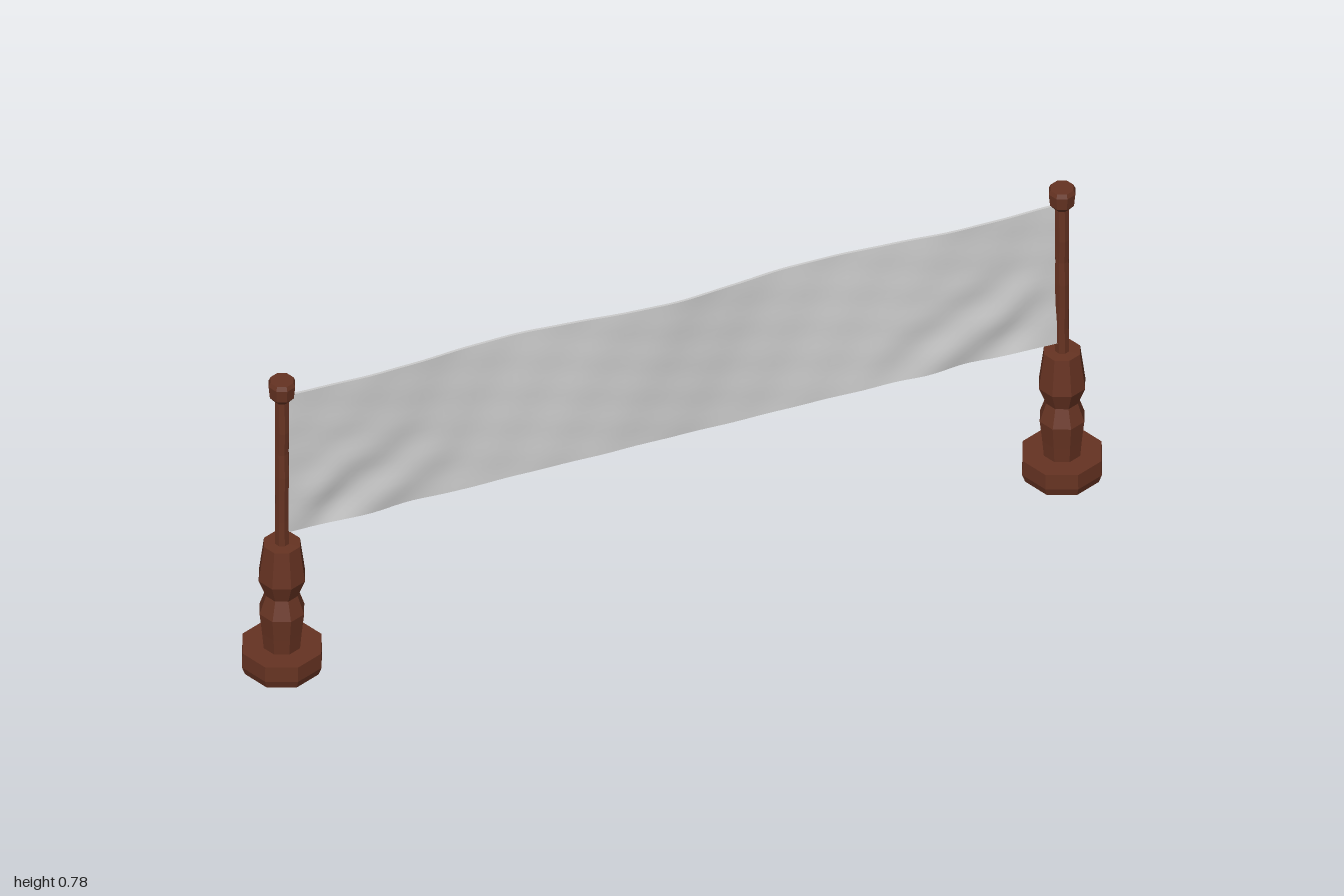
import * as THREE from 'three';

const wood = new THREE.MeshStandardMaterial({ color: 0x663322, flatShading: true });
const cloth = new THREE.MeshStandardMaterial({ color: 0xcccccc, side: THREE.DoubleSide });

// Eight-sided turned piece from [radius, height] pairs, slightly hand-carved
function turned(name, profile, wobble = 0) {
  const points = profile.map(([r, y]) => new THREE.Vector2(r, y));
  const geo = new THREE.LatheGeometry(points, 8);
  const pos = geo.attributes.position;
  for (let i = 0; i < pos.count; i++) {
    const x = pos.getX(i), y = pos.getY(i), z = pos.getZ(i);
    pos.setX(i, x + wobble * Math.sin(y * 47) * Math.sign(Math.round(x * 1e4)));
    pos.setZ(i, z + wobble * Math.cos(y * 39) * Math.sign(Math.round(z * 1e4)));
  }
  geo.computeVertexNormals();
  const mesh = new THREE.Mesh(geo, wood);
  mesh.name = name;
  return mesh;
}

function createPost(name) {
  const post = new THREE.Group();
  post.name = name;
  post.add(
    turned('foot', [[0, 0], [0.086, 0.002], [0.093, 0.022], [0.092, 0.06], [0, 0.06]]),
    turned('turnedLeg', [[0.042, 0.055], [0.046, 0.1], [0.052, 0.155], [0.037, 0.2],
      [0.054, 0.245], [0.042, 0.335], [0, 0.337]]),
    turned('pole', [[0.016, 0.33], [0.016, 0.4], [0.015, 0.46], [0.017, 0.52],
      [0.015, 0.58], [0.017, 0.64], [0.016, 0.725]], 0.001),
    turned('cap', [[0, 0.722], [0.018, 0.723], [0.028, 0.735], [0.031, 0.766],
      [0.027, 0.776], [0, 0.776]]),
  );
  return post;
}

// Smooth bump, 1 at the centre and 0 at the given width
const bump = (d, width) => Math.max(0, 1 - (d / width) ** 2) ** 2;

// Thin sagging cloth with a double billow along the top and crumpled ends
function createBanner() {
  const geo = new THREE.BoxGeometry(1.79, 0.362, 0.006, 72, 18, 1);
  const pos = geo.attributes.position;
  for (let i = 0; i < pos.count; i++) {
    const x = pos.getX(i), v = pos.getY(i) / 0.362 + 0.5, z = pos.getZ(i);
    const u = Math.abs(x) / 0.895;
    const sag = 0.022 * (1 - u * u);
    const top = -0.012 - 0.014 * (1 - u * u) - 0.024 * bump(u - 0.39, 0.4);
    const bottom = 0.003 - 0.03 * (1 - u * u);
    const lower = bump(Math.hypot((u - 0.85) * 1.6, v - 0.15), 0.6);
    const crease = 0.006 * lower * Math.sin(x * 24 - v * 13) * Math.min(1, (1 - u) * 10);
    const ripple = 0.0012 * Math.sin(x * 31 + v * 9) * Math.sin(v * 17 - x * 11);
    pos.setY(i, 0.362 + v * 0.361 - sag + 0.002 * lower * Math.sin(x * 40));
    pos.setZ(i, z + THREE.MathUtils.lerp(bottom, top, v) + crease + ripple);
  }
  geo.computeVertexNormals();
  const mesh = new THREE.Mesh(geo, cloth);
  mesh.name = 'banner';
  return mesh;
}

export function createModel() {
  const model = new THREE.Group();
  model.name = 'bannerOnPosts';
  for (const side of [-1, 1]) {
    const post = createPost(side > 0 ? 'leftPost' : 'rightPost');
    post.position.x = side * 0.907;
    model.add(post);
  }
  model.add(createBanner());
  return model;
}
